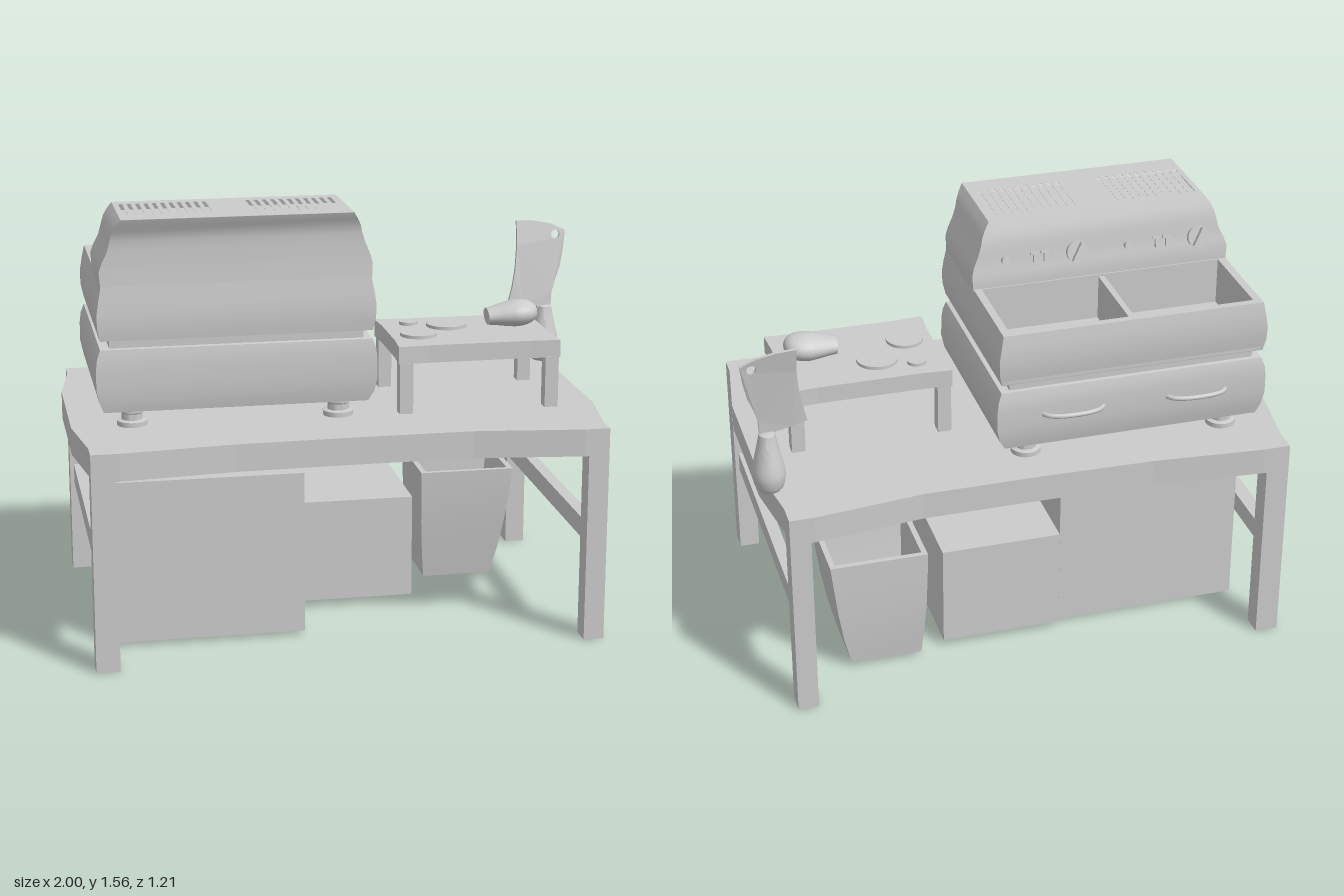
import * as THREE from 'three';
import { toCreasedNormals } from 'three/addons/utils/BufferGeometryUtils.js';

const material = new THREE.MeshStandardMaterial({ color: 0xcccccc, side: THREE.DoubleSide });
const v2 = (p) => new THREE.Vector2(p[0], p[1]);

function add(parent, name, geometry, x = 0, y = 0, z = 0) {
  const mesh = new THREE.Mesh(geometry, material);
  mesh.name = name;
  mesh.position.set(x, y, z);
  parent.add(mesh);
  return mesh;
}

// Box given by its limits
function box(parent, name, x0, x1, y0, y1, z0, z1) {
  return add(parent, name, new THREE.BoxGeometry(x1 - x0, y1 - y0, z1 - z0),
    (x0 + x1) / 2, (y0 + y1) / 2, (z0 + z1) / 2);
}

// Rectangular sections [y, left, right, front, back] joined in order
function loft(sections, capStart = true, capEnd = true) {
  const pos = [], idx = [];
  sections.forEach(([y, x0, x1, zf, zb]) => pos.push(x0, y, zf, x1, y, zf, x1, y, zb, x0, y, zb));
  for (let s = 0; s < sections.length - 1; s++) {
    for (let i = 0; i < 4; i++) {
      const a = s * 4 + i, b = s * 4 + (i + 1) % 4;
      idx.push(a, b, b + 4, a, b + 4, a + 4);
    }
  }
  const e = (sections.length - 1) * 4;
  if (capStart) idx.push(0, 2, 1, 0, 3, 2);
  if (capEnd) idx.push(e, e + 1, e + 2, e, e + 2, e + 3);
  const g = new THREE.BufferGeometry();
  g.setAttribute('position', new THREE.Float32BufferAttribute(pos, 3));
  g.setIndex(idx);
  return toCreasedNormals(g, 0.7);
}

// Horizontal outline of [x, z] points with optional holes
function outline(points, holes = []) {
  const flip = (list) => list.map(([x, z]) => new THREE.Vector2(x, -z));
  const shape = new THREE.Shape(flip(points));
  holes.forEach((h) => shape.holes.push(new THREE.Path(flip(h))));
  return shape;
}
const rect = (x0, x1, z0, z1) => [[x0, z0], [x1, z0], [x1, z1], [x0, z1]];
const slab = (shape, h) =>
  new THREE.ExtrudeGeometry(shape, { depth: h, bevelEnabled: false }).rotateX(-Math.PI / 2);
const lathe = (profile, n = 28) => toCreasedNormals(new THREE.LatheGeometry(profile.map(v2), n), 0.7);
const smoothLathe = (profile, n = 28) =>
  lathe(new THREE.SplineCurve(profile.map(v2)).getPoints(24).map((p) => [Math.max(p.x, 0), p.y]), n);

function makeTable() {
  const g = new THREE.Group();
  g.name = 'table';
  const edge = [[-0.96, -0.605], [-0.86, -0.605], [-0.45, -0.57], [0, -0.56], [0.4, -0.56], [0.8, -0.605],
    [0.89, -0.605], [0.89, -0.52], [0.93, -0.25], [0.93, 0.25], [0.89, 0.52], [0.89, 0.6], [0.8, 0.6],
    [0.4, 0.55], [0, 0.55], [-0.45, 0.56], [-0.86, 0.6], [-0.96, 0.6], [-0.96, 0.52], [-1, 0.25], [-1, -0.25], [-0.96, -0.52]];
  add(g, 'tableTop', slab(outline(edge), 0.1), 0, 0.7, 0);
  for (const [x0, x1] of [[-0.96, -0.875], [0.815, 0.89]]) {
    box(g, 'frontLeg', x0, x1, 0, 0.71, 0.52, 0.6);
    box(g, 'backLeg', x0, x1, 0, 0.71, -0.605, -0.525);
    box(g, 'sideRail', x0 + 0.015, x1 - 0.015, 0.355, 0.43, -0.53, 0.53);
  }
  return g;
}

function makeStorage() {
  const g = new THREE.Group();
  g.name = 'storage';
  box(g, 'largeCrate', -0.87, -0.175, 0.015, 0.62, -0.34, 0.36);
  box(g, 'smallCrate', -0.165, 0.285, 0.025, 0.415, -0.37, 0.08);
  // Outer wall going up, then inner wall going down to the floor
  const wall = [[0.015, 0.38, 0.645, -0.135, -0.4], [0.13, 0.369, 0.673, -0.115, -0.413],
    [0.25, 0.361, 0.693, -0.095, -0.421], [0.36, 0.357, 0.706, -0.08, -0.424], [0.457, 0.355, 0.717, -0.072, -0.426]];
  const t = 0.02;
  const inner = wall.map(([y, a, b, f, k], i) => [i ? y : y + t, a + t, b - t, f - t, k + t]).reverse();
  add(g, 'bin', loft([...wall, ...inner]));
  return g;
}

function makeFryer() {
  const g = new THREE.Group();
  g.name = 'fryer';
  // Bulging body with a groove round its waist
  add(g, 'body', loft([
    [0.862, -0.885, 0.07, 0.295, -0.44], [0.9, -0.9, 0.092, 0.303, -0.45], [0.95, -0.91, 0.103, 0.307, -0.457],
    [1.02, -0.91, 0.102, 0.307, -0.457], [1.06, -0.905, 0.097, 0.305, -0.455], [1.092, -0.893, 0.085, 0.3, -0.447],
    [1.095, -0.86, 0.053, 0.288, -0.435], [1.122, -0.86, 0.053, 0.288, -0.435], [1.125, -0.893, 0.085, 0.305, -0.452],
    [1.17, -0.902, 0.095, 0.31, -0.46], [1.22, -0.903, 0.097, 0.31, -0.464], [1.27, -0.895, 0.09, 0.305, -0.462],
    [1.32, -0.885, 0.08, 0.3, -0.455]], true, false));
  add(g, 'tubRim', slab(outline(rect(-0.885, 0.08, -0.455, -0.06), [rect(-0.855, 0.052, -0.428, -0.08)]), 0.19), 0, 1.13, 0);
  box(g, 'tubFloor', -0.87, 0.07, 1.125, 1.145, -0.44, -0.07);
  box(g, 'tubDivider', -0.413, -0.391, 1.14, 1.312, -0.43, -0.075);

  // Control tower with slotted top
  add(g, 'tower', loft([
    [1.3, -0.886, 0.082, 0.3, -0.075], [1.33, -0.887, 0.083, 0.298, -0.075], [1.37, -0.89, 0.085, 0.296, -0.073],
    [1.4, -0.88, 0.077, 0.295, -0.065], [1.44, -0.86, 0.06, 0.295, -0.06], [1.48, -0.85, 0.047, 0.295, -0.055],
    [1.51, -0.842, 0.04, 0.302, -0.048], [1.535, -0.83, 0.027, 0.317, -0.039], [1.56, -0.812, 0.012, 0.328, -0.03]], false, false));
  const slots = [];
  for (const x0 of [-0.785, -0.325]) {
    for (let i = 0; i < 11; i++) slots.push(rect(x0 + i * 0.03 - 0.007, x0 + i * 0.03 + 0.007, 0.02, 0.24));
  }
  add(g, 'slottedTop', slab(outline(rect(-0.812, 0.012, -0.03, 0.328), slots), 0.001), 0, 1.559, 0);
  box(g, 'ventFloor', -0.81, 0.01, 1.53, 1.535, 0, 0.26);

  // One set of controls and a pull handle per tub
  for (const x of [-0.775, -0.31]) {
    const panel = new THREE.Group();
    panel.name = 'controls';
    panel.position.set(x, 1.418, -0.064);
    panel.rotation.x = 0.2;
    g.add(panel);
    const dial = (r, d) => new THREE.CylinderGeometry(r, r, d, 24).rotateX(Math.PI / 2);
    add(panel, 'dial', dial(0.04, 0.03));
    add(panel, 'dialGrip', new THREE.BoxGeometry(0.016, 0.074, 0.03), 0, 0, -0.018).rotation.z = 0.5;
    add(panel, 'smallKnob', dial(0.015, 0.036), 0.27, 0, 0);
    for (const dx of [0.12, 0.16]) {
      add(panel, 'switchBar', new THREE.BoxGeometry(0.032, 0.01, 0.02), dx, 0.015, 0);
      add(panel, 'switchStem', new THREE.BoxGeometry(0.01, 0.035, 0.02), dx, -0.004, 0);
    }
    const path = new THREE.CatmullRomCurve3([[-0.115, 0, 0.01], [-0.095, 0, -0.015], [-0.05, 0, -0.03],
      [0.05, 0, -0.03], [0.095, 0, -0.015], [0.115, 0, 0.01]].map((p) => new THREE.Vector3(...p)));
    add(g, 'rearHandle', new THREE.TubeGeometry(path, 28, 0.009, 8), x + 0.13, 0.99, -0.457);
  }

  const foot = lathe([[0, 0], [0.055, 0], [0.055, 0.018], [0.038, 0.022], [0.038, 0.045], [0.045, 0.05], [0.045, 0.07], [0, 0.07]]);
  for (const x of [-0.78, -0.03]) for (const z of [0.235, -0.365]) add(g, 'foot', foot, x, 0.8, z);
  return g;
}

function makeBoard() {
  const g = new THREE.Group();
  g.name = 'servingStand';
  const edge = [[0.185, -0.16], [0.3, -0.152], [0.68, -0.152], [0.79, -0.16], [0.783, -0.05], [0.783, 0.18],
    [0.79, 0.285], [0.68, 0.278], [0.3, 0.278], [0.185, 0.285], [0.192, 0.18], [0.192, -0.05]];
  add(g, 'standTop', slab(outline(edge), 0.065), 0, 0.987, 0);
  for (const x of [0.19, 0.735]) for (const z of [-0.155, 0.235]) box(g, 'standLeg', x, x + 0.05, 0.8, 0.99, z, z + 0.05);
  for (const [x, z, r] of [[0.295, -0.065, 0.035], [0.43, -0.01, 0.076], [0.295, 0.115, 0.069]]) {
    add(g, 'slice', new THREE.CylinderGeometry(r, r, 0.012, 28), x, 1.058, z);
  }
  // Rounded roast lying on its side, cut flat at the narrow end
  const roast = smoothLathe([[0.046, 0], [0.053, 0.03], [0.066, 0.075], [0.073, 0.115], [0.062, 0.16], [0.035, 0.185], [0, 0.192]]);
  const meat = add(g, 'roast', roast.rotateZ(-Math.PI / 2).scale(1, 0.68, 1), 0.566, 1.1, 0.065);
  meat.rotation.z = 0.08;
  add(meat, 'roastCut', new THREE.CircleGeometry(0.046, 28).rotateY(-Math.PI / 2).scale(1, 0.68, 1));
  return g;
}

function makeCleaver() {
  const g = new THREE.Group();
  g.name = 'cleaver';
  const handle = smoothLathe([[0, 0], [0.05, 0.004], [0.066, 0.04], [0.068, 0.075], [0.055, 0.13],
    [0.042, 0.18], [0.035, 0.21], [0.03, 0.222], [0, 0.224]]);
  add(g, 'handle', handle.scale(0.86, 1, 1), 0.912, 0.808, -0.38);
  const shape = new THREE.Shape([[0.885, 1.0], [0.935, 1.0], [0.94, 1.08], [0.955, 1.13], [0.975, 1.18], [0.988, 1.24],
    [1, 1.32], [0.94, 1.347], [0.87, 1.36], [0.803, 1.362], [0.802, 1.27], [0.793, 1.18], [0.78, 1.11],
    [0.765, 1.055], [0.82, 1.04], [0.88, 1.03]].map(v2));
  shape.holes.push(new THREE.Path().absarc(0.96, 1.305, 0.017, 0, Math.PI * 2, true));
  const blade = new THREE.ExtrudeGeometry(shape, { depth: 0.014, bevelEnabled: false });
  // Lean the blade backward, bending more toward its tip
  const p = blade.attributes.position;
  for (let i = 0; i < p.count; i++) {
    const h = p.getY(i) - 1;
    p.setZ(i, p.getZ(i) - 0.378 - 0.06 * h - 0.25 * h * h - 0.05 * (p.getX(i) - 0.9));
  }
  blade.computeVertexNormals();
  add(g, 'blade', blade);
  return g;
}

export function createModel() {
  const model = new THREE.Group();
  model.name = 'foodStall';
  model.add(makeTable(), makeStorage(), makeFryer(), makeBoard(), makeCleaver());
  return model;
}
